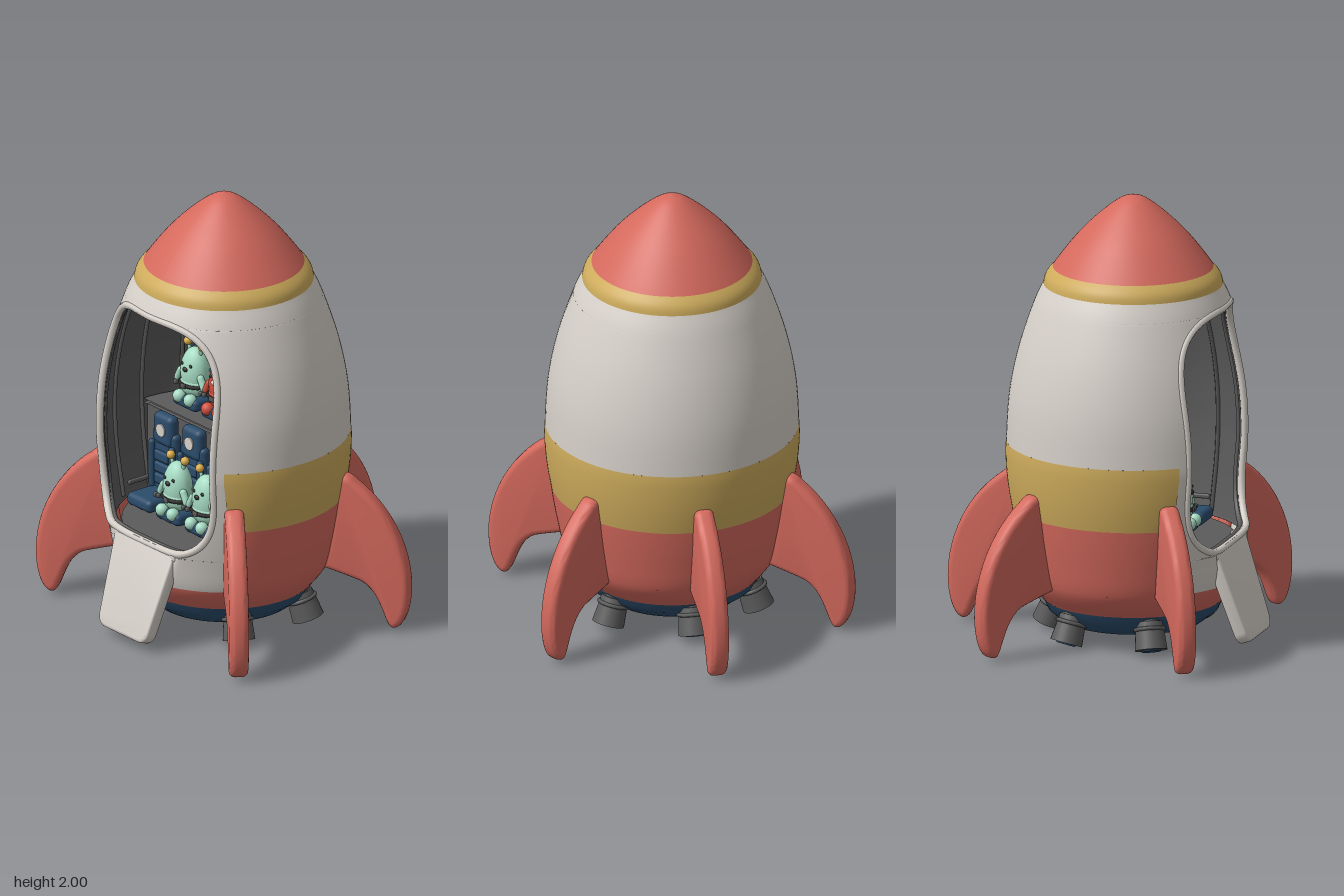
import * as THREE from 'three';
import { toCreasedNormals } from 'three/addons/utils/BufferGeometryUtils.js';
import { RoundedBoxGeometry } from 'three/addons/geometries/RoundedBoxGeometry.js';

const CZ = 0.12; // the hull axis sits behind the ramp
const both = THREE.DoubleSide;
const mat = (name, color, side = THREE.FrontSide) => {
  const m = new THREE.MeshStandardMaterial({ color, side });
  m.name = name;
  return m;
};

// hull radius by height
const profile = new THREE.SplineCurve([
  [0.40, 0.18], [0.47, 0.28], [0.505, 0.42], [0.535, 0.6], [0.555, 0.8], [0.558, 0.9], [0.545, 1.1],
  [0.505, 1.3], [0.44, 1.5], [0.395, 1.6], [0.35, 1.68], [0.25, 1.81], [0.15, 1.91], [0.06, 1.98], [0, 2],
].map(([r, y]) => new THREE.Vector2(r, y))).getPoints(200);
function radius(y) {
  let i = 1;
  while (i < 200 && profile[i].y < y) i++;
  const a = profile[i - 1], b = profile[i];
  return Math.max(0, THREE.MathUtils.mapLinear(y, a.y, b.y, a.x, b.x));
}

// half-widths of the doorway and of the pale frame round it
const DOOR = { w: 0.39, y: 0.95, up: 0.57, down: 0.5, nUp: 3.2, nDown: 4 };
function doorHalf(y) {
  const up = y > DOOR.y, n = up ? DOOR.nUp : DOOR.nDown;
  const t = Math.min(1, Math.abs(y - DOOR.y) / (up ? DOOR.up : DOOR.down));
  return DOOR.w * (1 - t ** n) ** (1 / n);
}
const frameHalf = (y) => Math.min(0.43, 0.4 + 0.1 * (y - 0.29));
const angleOf = (half) => (y) => Math.asin(half(y) / radius(y));
const flatFront = (z, y) => (y < 0.5 ? Math.min(z, 0.575) : z);

// part of the hull between two heights and two angles (0 = front)
function strip(y0, y1, a0, a1, { inset = 0, puff = 0, cols = 80, rows = 18 } = {}) {
  const pos = [], idx = [];
  for (let i = 0; i <= rows; i++) {
    const t = 0.5 - 0.5 * Math.cos(Math.PI * i / rows);
    const y = y0 + (y1 - y0) * t;
    const r = Math.max(0, radius(y) - inset + puff * Math.sin(Math.PI * t));
    for (let j = 0; j <= cols; j++) {
      const a = THREE.MathUtils.lerp(a0(y), a1(y), j / cols);
      pos.push(r * Math.sin(a), y, flatFront(CZ + r * Math.cos(a), y));
      if (i < rows && j < cols) {
        const p = i * (cols + 1) + j, q = p + cols + 1;
        idx.push(p, p + 1, q, p + 1, q + 1, q);
      }
    }
  }
  const g = new THREE.BufferGeometry();
  g.setAttribute('position', new THREE.Float32BufferAttribute(pos, 3));
  g.setIndex(idx);
  g.computeVertexNormals();
  return g;
}

export function createModel() {
  const M = {
    white: mat('warm white', 0xd6d0c9, both), red: mat('coral red', 0xd4695d, both),
    yellow: mat('mustard', 0xcdab5c, both), blue: mat('navy blue', 0x2b4c6b),
    grey: mat('dark grey', 0x5c5b5b, both), taupe: mat('taupe', 0x8f7b5c, both),
    green: mat('mint green', 0xa6dcc4), crimson: mat('bright red', 0xd2503f),
    amber: mat('amber', 0xdcae4a), black: mat('near black', 0x2c2a2b),
  };
  const model = new THREE.Group();
  const add = (parent, name, geo, material, x = 0, y = 0, z = 0) => {
    const m = new THREE.Mesh(geo, material);
    m.name = name;
    m.position.set(x, y, z);
    parent.add(m);
    return m;
  };
  const group = (parent, name, x = 0, y = 0, z = 0) => {
    const g = new THREE.Group();
    g.name = name;
    g.position.set(x, y, z);
    parent.add(g);
    return g;
  };
  const ball = (r) => new THREE.SphereGeometry(r, 16, 12);
  const box = (w, h, d, r) => new RoundedBoxGeometry(w, h, d, 3, r);

  // hull bands
  const zero = () => 0, turn = () => 2 * Math.PI;
  const door = angleOf(doorHalf), frame = angleOf(frameHalf);
  const rest = (f) => (y) => 2 * Math.PI - f(y);
  const minus = (f) => (y) => -f(y);
  add(model, 'lowerSkirt', strip(0.18, 0.29, zero, turn), M.red);
  add(model, 'lowerHull', strip(0.29, 0.6, frame, rest(frame)), M.red);
  add(model, 'middleBand', strip(0.6, 0.89, frame, rest(frame), { puff: 0.006 }), M.yellow);
  add(model, 'upperHull', strip(0.89, 1.52, door, rest(door), { rows: 32 }), M.white);
  add(model, 'hullAboveDoor', strip(1.52, 1.6, zero, turn), M.white);
  add(model, 'noseBand', strip(1.6, 1.675, zero, turn, { puff: 0.008 }), M.yellow);
  add(model, 'noseCone', strip(1.675, 2, zero, turn, { rows: 26 }), M.red);

  // door frame
  add(model, 'doorSill', strip(0.29, 0.45, minus(frame), frame), M.white);
  add(model, 'doorFrameLeft', strip(0.45, 0.89, door, frame, { rows: 28, cols: 10 }), M.white);
  add(model, 'doorFrameRight', strip(0.45, 0.89, minus(frame), minus(door), { rows: 28, cols: 10 }), M.white);
  const rim = [];
  for (let i = 0; i < 72; i++) {
    const c = Math.cos(i * Math.PI / 36), s = Math.sin(i * Math.PI / 36);
    const n = s > 0 ? DOOR.nUp : DOOR.nDown;
    const x = DOOR.w * Math.sign(c) * Math.abs(c) ** (2 / n);
    const y = DOOR.y + (s > 0 ? DOOR.up : DOOR.down) * Math.sign(s) * Math.abs(s) ** (2 / n);
    rim.push(new THREE.Vector3(x, y, flatFront(CZ + Math.sqrt(radius(y) ** 2 - x * x), y) - 0.012));
  }
  const rimPath = new THREE.CatmullRomCurve3(rim, true);
  add(model, 'doorRim', new THREE.TubeGeometry(rimPath, 140, 0.017, 8, true), M.white);
  add(model, 'doorSeal', new THREE.TubeGeometry(rimPath, 140, 0.014, 6, true), M.grey, 0, 0, -0.025);

  // cabin lining, ribs and decks
  add(model, 'cabinLining', strip(0.45, 1.52, door, rest(door), { inset: 0.03, rows: 30 }), M.grey);
  add(model, 'backWall', strip(0.85, 1.54, () => Math.PI - 0.95, () => Math.PI + 0.95, { inset: 0.036, cols: 30 }), M.taupe);
  add(model, 'ceiling', new THREE.CylinderGeometry(0.39, 0.39, 0.02, 48), M.grey, 0, 1.545, CZ);
  for (const a of [1.1, 1.5, 1.9, 2.68]) for (const s of [1, -1]) {
    const pts = [0.47, 0.75, 1.0, 1.25, 1.5].map((y) => {
      const r = radius(y) - 0.034;
      return new THREE.Vector3(s * r * Math.sin(a), y, CZ + r * Math.cos(a));
    });
    add(model, 'wallRib', new THREE.TubeGeometry(new THREE.CatmullRomCurve3(pts), 16, 0.01, 6), a > 2 ? M.taupe : M.grey);
  }
  add(model, 'cabinLight', box(0.21, 0.04, 0.03, 0.014), M.white, 0, 1.44, -0.285).rotation.x = 0.3;
  add(model, 'lowerDeck', new THREE.CylinderGeometry(0.45, 0.45, 0.02, 48), M.grey, 0, 0.44, CZ);
  add(model, 'upperDeck', new THREE.CylinderGeometry(0.52, 0.52, 0.02, 40, 1, false, Math.PI / 2, Math.PI), M.grey, 0, 0.845, CZ + 0.03);
  add(model, 'deckRiser', new THREE.BoxGeometry(0.96, 0.4, 0.02), M.grey, 0, 0.645, CZ + 0.03);

  // seats
  function seat(x, y, z) {
    const g = group(model, 'seat', x, y, z);
    add(g, 'backrest', box(0.165, 0.34, 0.05, 0.024), M.blue, 0, 0.17, 0);
    add(g, 'headrest', box(0.13, 0.15, 0.06, 0.028), M.blue, 0, 0.345, 0.005);
    add(g, 'cushion', box(0.165, 0.06, 0.17, 0.024), M.blue, 0, 0.035, 0.085);
    for (const py of [0.11, 0.165, 0.22]) add(g, 'pad', box(0.1, 0.048, 0.025, 0.011), M.blue, 0, py, 0.027);
    add(g, 'badge', new THREE.CylinderGeometry(0.03, 0.03, 0.008, 12), M.white, 0, 0.348, 0.037).rotation.x = Math.PI / 2;
    for (const s of [1, -1]) {
      add(g, 'bolster', new THREE.CapsuleGeometry(0.016, 0.2, 4, 10), M.blue, s * 0.068, 0.17, 0.03);
      add(g, 'armrest', box(0.018, 0.022, 0.14, 0.008), M.grey, s * 0.087, 0.1, 0.08);
    }
    return g;
  }

  // small passengers
  function passenger(parent, skin, tip, beak) {
    const g = group(parent, 'passenger', 0, 0, 0.1);
    add(g, 'body', ball(1), skin, 0, 0.165, 0).scale.set(0.074, 0.118, 0.06);
    add(g, 'hips', ball(1), skin, 0, 0.11, 0).scale.set(0.077, 0.06, 0.062);
    const belt = add(g, 'belt', new THREE.TorusGeometry(0.075, 0.009, 6, 28), M.black, 0, 0.115, 0);
    belt.rotation.x = Math.PI / 2;
    belt.scale.y = 0.84;
    add(g, 'buckle', box(0.03, 0.022, 0.01, 0.004), M.grey, 0, 0.115, 0.07);
    add(g, 'beak', ball(1), beak, 0, 0.19, 0.058).scale.set(0.015, 0.011, 0.009);
    for (const s of [1, -1]) {
      add(g, 'foot', ball(0.03), skin, s * 0.037, 0.055, 0.06);
      add(g, 'arm', new THREE.CapsuleGeometry(0.017, 0.045, 4, 10), skin, s * 0.078, 0.14, 0.025).rotation.z = s * 0.5;
      add(g, 'eye', ball(1), M.black, s * 0.028, 0.21, 0.05).scale.set(0.009, 0.008, 0.005);
      add(g, 'antenna', new THREE.CylinderGeometry(0.007, 0.01, 0.05, 8), skin, s * 0.04, 0.272, 0).rotation.z = -s * 0.3;
      add(g, 'antennaTip', ball(0.02), tip, s * 0.049, 0.298, 0);
    }
  }
  const mint = [M.green, M.amber, M.black];
  const crew = {
    upper: [mint, [M.crimson, M.crimson, M.white], [M.amber, M.amber, M.black], null],
    lower: [null, mint, mint, null],
  };
  [-0.295, -0.1, 0.1, 0.292].forEach((x, i) => {
    const up = seat(x, 0.86, -0.06), low = seat(x, 0.45, 0.2);
    if (crew.upper[i]) passenger(up, ...crew.upper[i]);
    if (crew.lower[i]) passenger(low, ...crew.lower[i]);
  });

  // boarding ramp
  const ramp = group(model, 'ramp', 0, 0.03, 0.655);
  ramp.rotation.x = -0.33;
  const outline = (path, wTop, wBot, y0, y1, c) => {
    path.moveTo(-wTop, y1);
    path.lineTo(-wBot - 0.01, y0 + c);
    path.quadraticCurveTo(-wBot, y0, -wBot + c, y0);
    path.lineTo(wBot - c, y0);
    path.quadraticCurveTo(wBot, y0, wBot + 0.01, y0 + c);
    path.lineTo(wTop, y1);
    path.closePath();
    return path;
  };
  const rampShape = outline(new THREE.Shape(), 0.205, 0.158, 0, 0.44, 0.05);
  rampShape.holes.push(outline(new THREE.Path(), 0.155, 0.122, 0.055, 0.425, 0.02));
  const bevel = (t, depth) => ({ depth, bevelEnabled: true, bevelThickness: t, bevelSize: t, bevelOffset: -t, bevelSegments: 4, curveSegments: 12 });
  add(ramp, 'rampFrame', toCreasedNormals(new THREE.ExtrudeGeometry(rampShape, bevel(0.014, 0.034)), 0.8), M.white, 0, 0, 0.014);
  add(ramp, 'rampPanel', new THREE.ExtrudeGeometry(outline(new THREE.Shape(), 0.165, 0.13, 0.04, 0.43, 0.02), { depth: 0.015, bevelEnabled: false }), M.white, 0, 0, 0.02);
  for (let i = 0; i < 5; i++) {
    const y = 0.09 + i * 0.075, w = 0.21 + i * 0.014;
    add(ramp, 'step', box(w, 0.036, 0.024, 0.008), M.white, 0, y, 0.045);
    add(ramp, 'stepGap', new THREE.BoxGeometry(w, 0.016, 0.008), M.grey, 0, y + 0.031, 0.037);
  }
  add(ramp, 'rampUnderside', box(0.22, 0.14, 0.012, 0.005), M.blue, 0, 0.11, 0.013);
  for (const s of [1, -1]) add(model, 'rampHinge', box(0.05, 0.04, 0.07, 0.015), M.white, s * 0.19, 0.44, 0.545);

  // engine base with a recessed nozzle
  const base = [[0, 0.1], [0.09, 0.095], [0.11, 0.075], [0.14, 0.075], [0.16, 0.11], [0.23, 0.11], [0.25, 0.075], [0.31, 0.08], [0.375, 0.13], [0.4, 0.185], [0, 0.19]];
  add(model, 'engineBase', toCreasedNormals(new THREE.LatheGeometry(base.map(([r, y]) => new THREE.Vector2(r, y)), 64), 0.6), M.blue, 0, 0, CZ);

  // tail fins: back one and two pairs
  const fin = new THREE.Shape();
  fin.moveTo(0.52, 0.71);
  fin.quadraticCurveTo(0.56, 0.735, 0.6, 0.695);
  fin.bezierCurveTo(0.75, 0.59, 0.855, 0.4, 0.852, 0.2);
  fin.bezierCurveTo(0.85, 0.1, 0.82, 0.015, 0.775, 0.018);
  fin.bezierCurveTo(0.73, 0.02, 0.73, 0.21, 0.6, 0.235);
  fin.quadraticCurveTo(0.55, 0.25, 0.455, 0.275);
  fin.lineTo(0.495, 0.5);
  const finGeo = toCreasedNormals(new THREE.ExtrudeGeometry(fin, bevel(0.028, 0.03)), 0.9).translate(0, 0, -0.015);
  const A = 0.61;
  for (const a of [Math.PI / 2, A, -A, Math.PI - A, Math.PI + A]) add(model, 'fin', finGeo, M.red, 0, 0, CZ).rotation.y = a;

  // landing feet
  const B = Math.PI / 6;
  for (const a of [Math.PI / 2, B, -B, Math.PI - B, Math.PI + B]) {
    const g = group(model, 'landingFoot', 0, 0, CZ);
    g.rotation.y = a;
    add(g, 'ankle', ball(0.066), M.grey, 0.335, 0.145, 0);
    const leg = group(g, 'leg', 0.372, 0.088, 0);
    leg.rotation.z = 0.36;
    add(leg, 'shin', new THREE.CylinderGeometry(0.06, 0.072, 0.125, 24), M.grey);
    add(leg, 'cuff', new THREE.TorusGeometry(0.064, 0.009, 8, 24), M.grey, 0, 0.03, 0).rotation.x = Math.PI / 2;
    add(leg, 'sole', new THREE.CylinderGeometry(0.048, 0.042, 0.012, 20), M.blue, 0, -0.063, 0);
  }
  return model;
}
